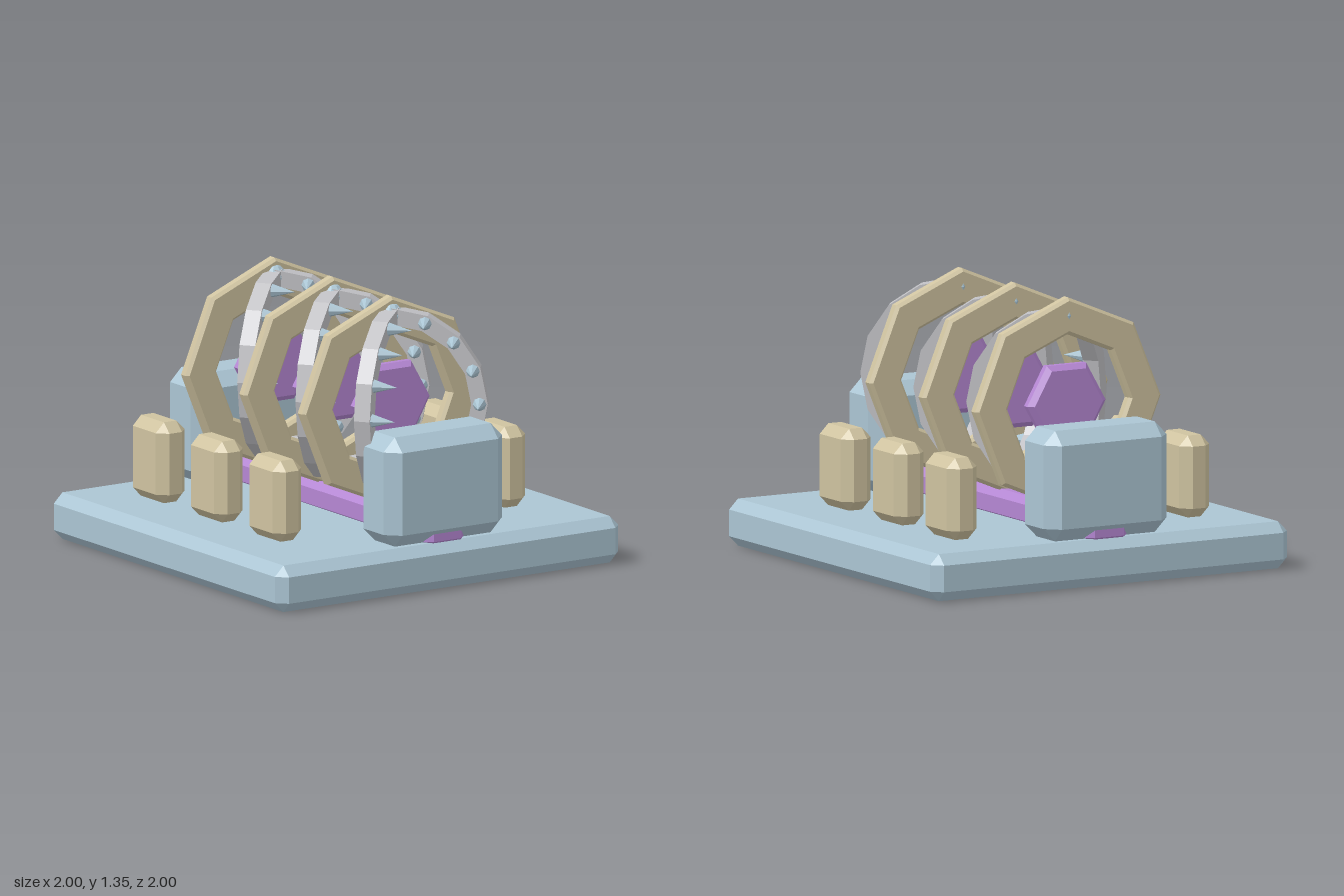
import * as THREE from 'three';
import { ConvexGeometry } from 'three/addons/geometries/ConvexGeometry.js';

const material = (name, color) => {
  const m = new THREE.MeshStandardMaterial({ color });
  m.name = name;
  m.flatShading = true;
  return m;
};

// Box with every edge cut by c
function chamferBox(w, h, d, c) {
  const pts = [];
  for (const sx of [-1, 1]) for (const sy of [-1, 1]) for (const sz of [-1, 1]) {
    const x = w / 2, y = h / 2, z = d / 2;
    for (const [a, b, e] of [[0, c, c], [c, 0, c], [c, c, 0]]) {
      pts.push(new THREE.Vector3(sx * (x - a), sy * (y - b), sz * (z - e)));
    }
  }
  return new ConvexGeometry(pts);
}

const polygon = (r, sides) => Array.from({ length: sides }, (_, i) => {
  const a = (i / sides) * Math.PI * 2;
  return new THREE.Vector2(r * Math.cos(a), r * Math.sin(a));
});

// Bevelled plate centred on z = 0
function plate(shape, depth, bevel) {
  const geo = new THREE.ExtrudeGeometry(shape, {
    depth: depth - 2 * bevel, bevelEnabled: bevel > 0, bevelThickness: bevel,
    bevelSize: bevel, bevelOffset: -bevel, bevelSegments: 1,
  });
  return geo.translate(0, 0, -(depth - 2 * bevel) / 2);
}

export function createModel() {
  const model = new THREE.Group();
  model.name = 'spikedRingMachine';
  const blue = material('paleBlue', 0xabc5d3);
  const tan = material('sand', 0xcfc3a0);
  const purple = material('violet', 0xb587d3);
  const grey = material('lightGrey', 0xc0c0c4);

  const add = (parent, name, geo, mat, x = 0, y = 0, z = 0) => {
    const m = new THREE.Mesh(geo, mat);
    m.name = name;
    m.position.set(x, y, z);
    parent.add(m);
    return m;
  };

  // Base slab, end blocks and the central rail
  add(model, 'base', chamferBox(2, 0.23, 2, 0.05), blue, 0, 0.115, 0);
  const endGeo = chamferBox(0.69, 0.54, 0.305, 0.066);
  add(model, 'frontBlock', endGeo, blue, 0, 0.5, 0.83);
  add(model, 'backBlock', endGeo, blue, 0, 0.5, -0.83);
  add(model, 'rail', chamferBox(0.23, 0.15, 1.92, 0.035), purple, 0, 0.275, 0);

  // Shared geometries of the three stations
  const ringShape = new THREE.Shape(polygon(0.52, 8));
  // Bevel offset widens the hole, so it is drawn at its final size
  ringShape.holes.push(new THREE.Path(polygon(0.34, 8)));
  const ringGeo = plate(ringShape, 0.065, 0.015);
  const coreGeo = plate(new THREE.Shape(polygon(0.22, 6)), 0.08, 0.025);
  const postGeo = chamferBox(0.168, 0.4, 0.293, 0.048);
  const hingeGeo = new THREE.SphereGeometry(0.057, 8, 6);

  const arcPoint = (r, i) => {
    const a = -Math.PI / 2 + (i / 8) * Math.PI;
    return new THREE.Vector2(r * Math.cos(a), r * Math.sin(a));
  };
  const arcPts = [];
  for (let i = 0; i <= 8; i++) arcPts.push(arcPoint(0.468, i));
  for (let i = 8; i >= 0; i--) arcPts.push(arcPoint(0.388, i));
  const arcGeo = plate(new THREE.Shape(arcPts), 0.08, 0);
  const spikeGeo = new THREE.ConeGeometry(0.036, 0.125, 8).rotateX(Math.PI / 2);

  for (const z of [0.455, -0.047, -0.547]) {
    const station = new THREE.Group();
    station.name = 'station';
    station.position.set(0, 0.83, z);
    model.add(station);

    add(station, 'ring', ringGeo, tan);
    add(station, 'hexCore', coreGeo, purple, 0, 0, 0.01);
    for (const s of [-1, 1]) {
      add(station, 'hinge', hingeGeo, blue, 0, s * 0.43, 0.02);
      add(station, 'post', postGeo, tan, s * 0.652, -0.395, -0.015);
    }

    // Two half hoops swung open from the hinges, spikes on the front face
    for (const [name, turn] of [['leftJaw', 0], ['rightJaw', Math.PI]]) {
      const side = new THREE.Group();
      side.name = name;
      side.rotation.z = turn;
      side.position.z = 0.022;
      station.add(side);
      const jaw = new THREE.Group();
      jaw.name = 'swungHoop';
      jaw.rotation.y = -0.663;
      side.add(jaw);
      add(jaw, 'halfHoop', arcGeo, grey);
      for (let i = 1; i < 8; i++) {
        const p = arcPoint(0.428, i);
        add(jaw, 'spike', spikeGeo, blue, p.x, p.y, 0.093);
      }
    }
  }
  return model;
}
